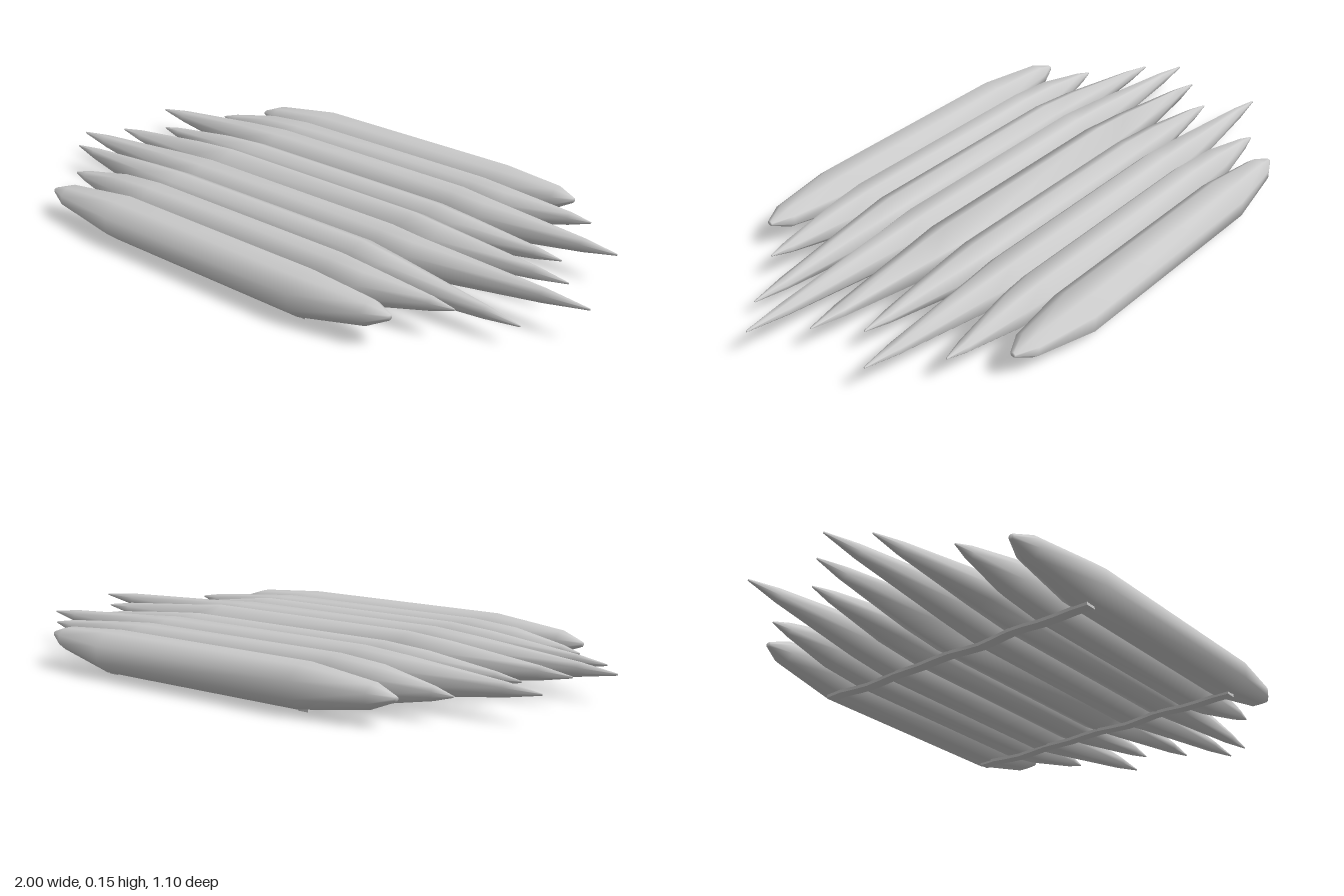
import * as THREE from 'three';

const material = new THREE.MeshStandardMaterial({ color: 0xcccccc, side: THREE.DoubleSide });

// Log from cross-section rings along x; ring = [x, y, z, halfHeight, halfDepth]
function logGeometry(rings, sides, turn) {
  const pos = [], idx = [];
  for (const [x, y, z, ry, rz] of rings) {
    for (let j = 0; j < sides; j++) {
      const a = (j / sides) * Math.PI * 2 + turn;
      pos.push(x, y + Math.cos(a) * ry, z + Math.sin(a) * rz);
    }
  }
  const last = (rings.length - 1) * sides;
  for (let i = 0; i < last; i += sides) {
    for (let j = 0; j < sides; j++) {
      const k = (j + 1) % sides;
      idx.push(i + j, i + k, i + sides + j, i + k, i + sides + k, i + sides + j);
    }
  }
  // Close the two tips
  for (let j = 1; j < sides - 1; j++) {
    idx.push(0, j + 1, j, last, last + j, last + j + 1);
  }
  const g = new THREE.BufferGeometry();
  g.setAttribute('position', new THREE.Float32BufferAttribute(pos, 3));
  g.setIndex(idx);
  g.computeVertexNormals();
  return g;
}

// Rings from tip to body at one end of a log
function endRings(tip, shoulder, elbow, centre, r) {
  const [x, y, z] = tip;
  const [cy, cz] = centre;
  const at = (px, t, s) => [px, y + (cy - y) * t, z + (cz - z) * t, r[0] * s, r[1] * s];
  const blunt = Math.abs(x) < 0.72;
  if (blunt) {
    return [at(x, 0, 0.12), at(x + (shoulder - x) * 0.23, 0.3, 0.55), at(shoulder, 1, 1)];
  }
  return [at(x, 0, 0.04), at(x + (elbow - x) * 0.25, 0.2, 0.3), at(elbow, 0.85, 0.82), at(shoulder, 1, 1)];
}

export function createModel() {
  const raft = new THREE.Group();
  raft.name = 'logRaft';

  // left tip [x, y, z], right tip, body z range, body y range, sides, turn
  const step = Math.PI / 8;
  const logs = [
    [[-0.675, 0.075, -0.465], [0.6, 0.095, -0.48], [-0.55, -0.405], [0.012, 0.132], 8, step],
    [[-0.765, 0.072, -0.342], [0.727, 0.1, -0.364], [-0.405, -0.285], [0.012, 0.135], 8, step],
    [[-0.955, 0.085, -0.228], [0.89, 0.1, -0.228], [-0.297, -0.17], [0.012, 0.14], 8, step],
    [[-0.83, 0.08, -0.113], [0.78, 0.09, -0.113], [-0.172, -0.053], [0.012, 0.138], 8, 0],
    [[-0.92, 0.085, 0], [0.87, 0.095, 0], [-0.062, 0.062], [0.012, 0.15], 6, 0],
    [[-0.998, 0.085, 0.108], [0.998, 0.107, 0.108], [0.057, 0.183], [0.012, 0.142], 8, step],
    [[-0.92, 0.085, 0.203], [0.87, 0.065, 0.235], [0.172, 0.292], [0.012, 0.144], 8, 0],
    [[-0.765, 0.075, 0.342], [0.727, 0.1, 0.326], [0.283, 0.402], [0.012, 0.136], 8, step],
    [[-0.705, 0.075, 0.476], [0.62, 0.095, 0.46], [0.4, 0.546], [0.012, 0.134], 8, step],
  ];

  logs.forEach(([left, right, zr, yr, sides, turn], i) => {
    const centre = [(yr[0] + yr[1]) / 2, (zr[0] + zr[1]) / 2];
    // Widen so that the flats of a turned polygon reach the wanted size
    const fy = turn ? Math.cos(step) : 1;
    const fz = turn ? Math.cos(step) : sides === 6 ? Math.cos(Math.PI / 6) : 1;
    const r = [(yr[1] - yr[0]) / 2 / fy, (zr[1] - zr[0]) / 2 / fz];
    const rings = [
      ...endRings(left, -0.39, -0.54, centre, r),
      ...endRings(right, 0.34, 0.45, centre, r).reverse(),
    ];
    const log = new THREE.Mesh(logGeometry(rings, sides, turn), material);
    log.name = `log${i + 1}`;
    raft.add(log);
  });

  // Two thin lashings across the underside, slightly uneven
  for (const x of [-0.39, 0.335]) {
    const g = new THREE.BoxGeometry(0.034, 0.01, 0.98, 1, 1, 18);
    const p = g.attributes.position;
    for (let i = 0; i < p.count; i++) {
      const z = p.getZ(i);
      p.setY(i, p.getY(i) + 0.003 * Math.cos(z * 28));
      p.setX(i, p.getX(i) + 0.004 * Math.sin(z * 17));
    }
    g.computeVertexNormals();
    const lashing = new THREE.Mesh(g, material);
    lashing.name = x < 0 ? 'rightLashing' : 'leftLashing';
    lashing.position.set(x, 0.008, 0);
    raft.add(lashing);
  }
  return raft;
}
